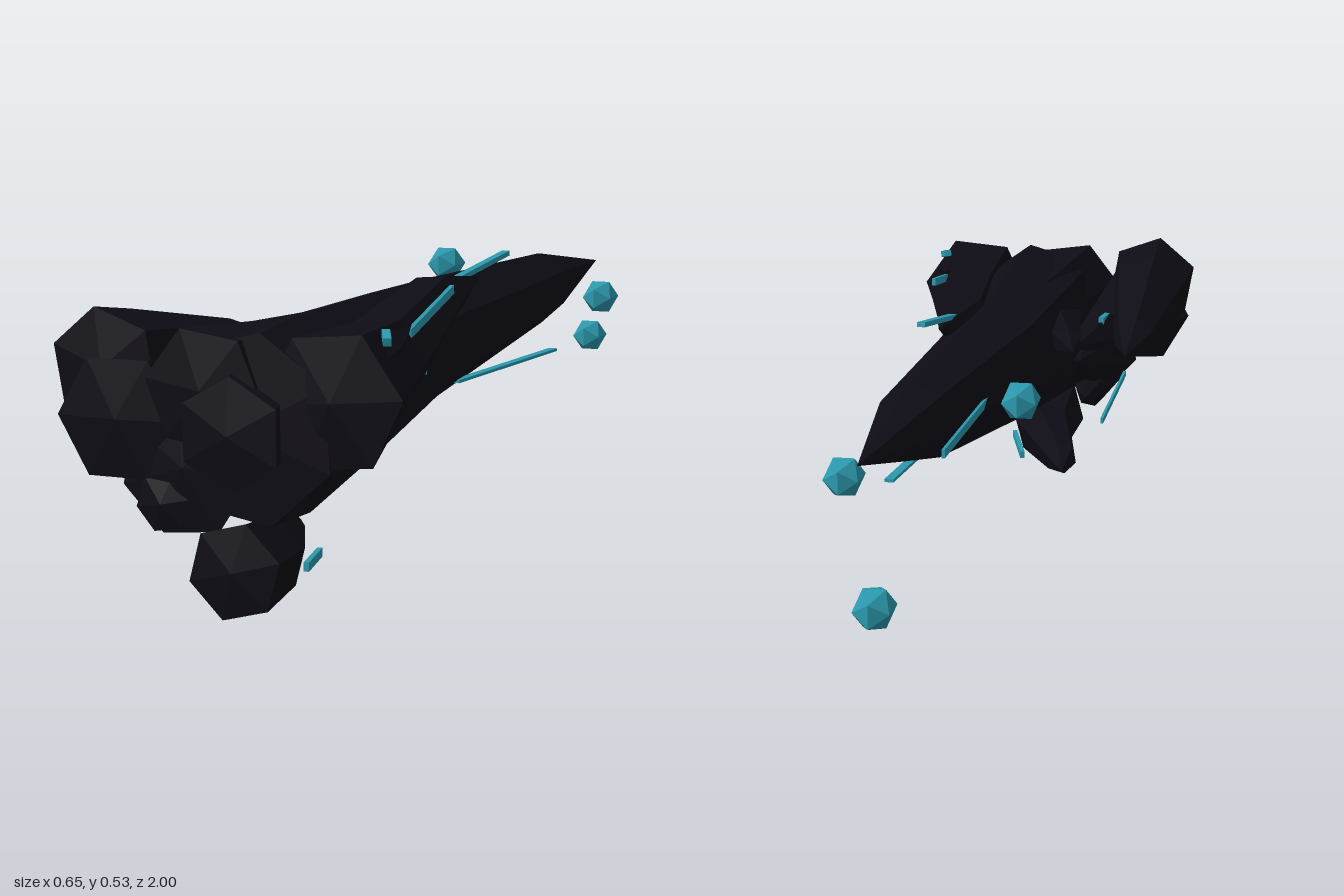
import * as THREE from 'three';

const dark = new THREE.MeshStandardMaterial({ color: 0x0e0c15, flatShading: true });
const teal = new THREE.MeshStandardMaterial({ color: 0x2b98ac, flatShading: true });

// Faceted shard: rings of [x, y, z, radius], blunt end first, closed by a tip point
function shardGeometry(rings, tip, sides, phase) {
  const pos = [];
  const index = [];
  rings.forEach(([x, y, z, r]) => {
    for (let i = 0; i < sides; i++) {
      const a = phase + (i / sides) * Math.PI * 2;
      pos.push(x + r * Math.cos(a), y + r * Math.sin(a), z);
    }
  });
  for (let k = 0; k < rings.length - 1; k++) {
    for (let i = 0; i < sides; i++) {
      const a = k * sides + i, b = k * sides + (i + 1) % sides;
      index.push(a, a + sides, b, b, a + sides, b + sides);
    }
  }
  // pointed tip and slightly raised blunt end
  const end = pos.length / 3;
  const [bx, by, bz] = rings[0];
  pos.push(...tip, bx, by, bz + 0.012);
  const last = (rings.length - 1) * sides;
  for (let i = 0; i < sides; i++) {
    const j = (i + 1) % sides;
    index.push(last + i, end, last + j, i, j, end + 1);
  }
  const g = new THREE.BufferGeometry();
  g.setAttribute('position', new THREE.Float32BufferAttribute(pos, 3));
  g.setIndex(index);
  g.computeVertexNormals();
  return g;
}

export function createModel() {
  const group = new THREE.Group();
  const add = (name, geometry, material) => {
    const m = new THREE.Mesh(geometry, material);
    m.name = name;
    group.add(m);
    return m;
  };
  const shard = (name, sides, degrees, rings, tip) =>
    add(name, shardGeometry(rings, tip, sides, THREE.MathUtils.degToRad(degrees)), dark);

  // Long central spire
  shard('mainSpire', 7, -74, [
    [0.042, 0.33, 0.95, 0.168], [0.04, 0.332, 0.8, 0.176],
    [0.02, 0.375, 0.2, 0.125], [0.047, 0.412, -0.42, 0.078],
  ], [0.065, 0.435, -0.8]);

  // Spires clustered around it
  shard('leftHandSpire', 6, 5, [
    [0.2, 0.385, 0.945, 0.127], [0.165, 0.408, 0.67, 0.088], [0.09, 0.46, 0.25, 0.06],
  ], [0.1, 0.49, 0.03]);
  shard('leftHandSmallShard', 6, 20, [
    [0.24, 0.435, 0.93, 0.04], [0.23, 0.45, 0.8, 0.035],
  ], [0.22, 0.48, 0.66]);
  shard('upperRightHandSpire', 6, 40, [
    [-0.225, 0.42, 0.95, 0.105], [-0.23, 0.415, 0.82, 0.09], [-0.247, 0.395, 0.43, 0.042],
  ], [-0.25, 0.39, 0.28]);
  shard('lowerRightHandSpire', 6, 0, [
    [-0.195, 0.335, 0.96, 0.118], [-0.175, 0.345, 0.8, 0.09], [-0.14, 0.36, 0.58, 0.045],
  ], [-0.12, 0.37, 0.43]);
  shard('slantedShard', 6, 30, [
    [0.03, 0.325, 0.985, 0.1], [-0.01, 0.36, 0.75, 0.085], [-0.124, 0.41, 0.3, 0.032],
  ], [-0.155, 0.417, 0.18]);
  shard('topShard', 6, 52, [
    [-0.03, 0.395, 0.965, 0.11], [-0.01, 0.4, 0.75, 0.09], [0.01, 0.43, 0.45, 0.05],
  ], [0.02, 0.45, 0.2]);
  shard('lowerShard', 7, 198, [
    [-0.07, 0.26, 0.955, 0.125], [-0.09, 0.275, 0.8, 0.1], [-0.12, 0.31, 0.6, 0.06],
  ], [-0.13, 0.34, 0.43]);
  shard('smallLowerShard', 6, 10, [
    [-0.11, 0.195, 0.96, 0.053], [-0.11, 0.205, 0.8, 0.05], [-0.13, 0.225, 0.6, 0.032],
  ], [-0.14, 0.25, 0.46]);
  shard('bottomShard', 6, 15, [
    [0.025, 0.088, 0.965, 0.088], [0.01, 0.08, 0.8, 0.07], [-0.065, 0.073, 0.58, 0.038],
  ], [-0.085, 0.07, 0.48]);

  // Glowing slivers along the shards: start, end, width, height
  const slivers = [
    [[0.22, 0.465, 0.67], [0.19, 0.51, 0.4], 0.008, 0.016],
    [[0.088, 0.49, 0.17], [0.11, 0.525, -0.09], 0.016, 0.01],
    [[0.075, 0.285, 0.1], [0.11, 0.285, -0.38], 0.018, 0.006],
    [[-0.045, 0.405, -0.2], [-0.06, 0.43, -0.68], 0.006, 0.016],
    [[-0.168, 0.393, 0.73], [-0.157, 0.4, 0.57], 0.012, 0.016],
    [[-0.19, 0.24, 0.74], [-0.19, 0.222, 0.37], 0.006, 0.012],
    [[0.08, 0.065, 0.8], [0.035, 0.055, 0.65], 0.01, 0.016],
    [[0.268, 0.48, 0.875], [0.25, 0.49, 0.84], 0.014, 0.014],
    [[0.175, 0.37, 0.5], [0.16, 0.375, 0.46], 0.012, 0.01],
  ];
  slivers.forEach(([a, b, w, h], i) => {
    const start = new THREE.Vector3(...a), end = new THREE.Vector3(...b);
    const m = add(`sliver${i + 1}`, new THREE.BoxGeometry(w, h, start.distanceTo(end)), teal);
    m.position.copy(start).lerp(end, 0.5);
    m.lookAt(end);
  });

  // Small floating gems around the nose
  [[0, 0.235, -0.952], [0.127, 0.37, -0.65], [-0.148, 0.46, -0.4]].forEach((p, i) => {
    const m = add(`floatingGem${i + 1}`, new THREE.IcosahedronGeometry(1, 0), teal);
    m.position.set(...p);
    m.scale.set(0.038, 0.04, 0.057);
  });
  return group;
}
